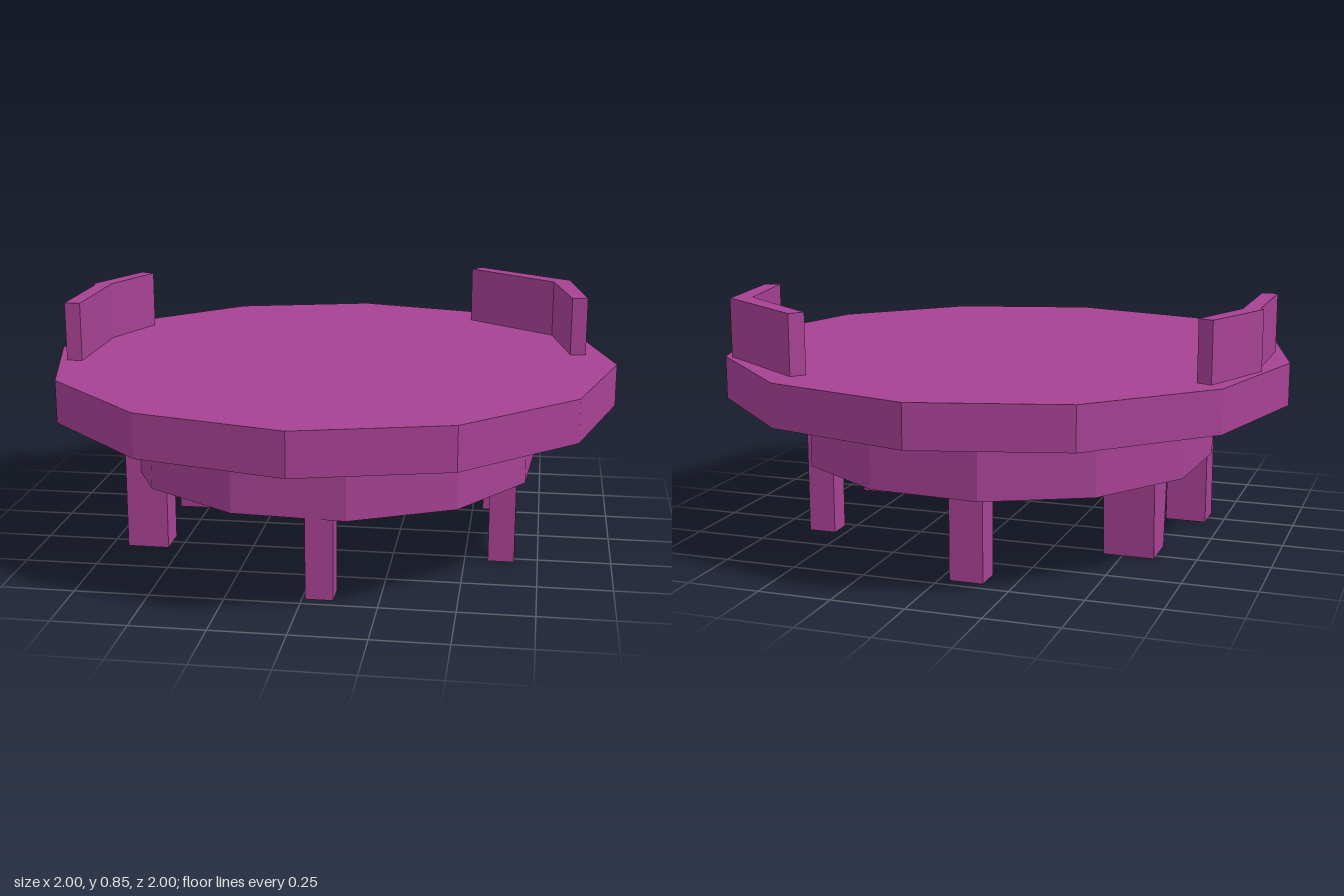
import * as THREE from 'three';

const material = new THREE.MeshStandardMaterial({ color: 0xa64193, flatShading: true });

function addMesh(group, name, geometry) {
  const mesh = new THREE.Mesh(geometry, material);
  mesh.name = name;
  group.add(mesh);
  return mesh;
}

// Upright slab from a plan outline of [x, z] points, between two heights
function slab(outline, bottom, top, hole) {
  const toVectors = (pts) => pts.map(([x, z]) => new THREE.Vector2(x, z));
  const shape = new THREE.Shape(toVectors(outline));
  if (hole) shape.holes.push(new THREE.Path(toVectors(hole)));
  const geometry = new THREE.ExtrudeGeometry(shape, { depth: top - bottom, bevelEnabled: false });
  return geometry.rotateX(Math.PI / 2).translate(0, top, 0);
}

// Twelve plan points on a circle, counter-clockwise, turned by a number of degrees
function dodecagon(radius, turn) {
  return Array.from({ length: 12 }, (_, i) => {
    const a = THREE.MathUtils.degToRad(turn - i * 30);
    return [radius * Math.sin(a), radius * Math.cos(a)];
  });
}

// Box given by its minimum and maximum x and z, standing on the floor
function legBox(x0, x1, z0, z1) {
  return new THREE.BoxGeometry(x1 - x0, 0.5, z1 - z0)
    .translate((x0 + x1) / 2, 0.25, (z0 + z1) / 2);
}

export function createModel() {
  const group = new THREE.Group();
  group.name = 'roundPlatform';

  // Twelve-sided top
  addMesh(group, 'platform', new THREE.CylinderGeometry(1, 1, 0.147, 12).translate(0, 0.5715, 0));

  // Bracing ring under the top
  const ring = slab(dodecagon(0.735, 11), 0.275, 0.462, dodecagon(0.635, 11));
  addMesh(group, 'supportRing', ring.translate(0.004, 0, 0));

  // Straight legs
  const legs = {
    frontLeg: [0.01, 0.102, 0.625, 0.712],
    backLeg: [-0.15, -0.035, -0.71, -0.61],
    frontLeftLeg: [0.58, 0.67, 0.19, 0.282],
    backLeftLeg: [0.538, 0.635, -0.355, -0.27],
    frontRightLeg: [-0.69, -0.545, 0.19, 0.31],
  };
  for (const [name, bounds] of Object.entries(legs)) addMesh(group, name, legBox(...bounds));

  // Wider leg that flares along z towards its top
  const flared = legBox(-0.61, -0.435, -0.285, -0.138);
  const p = flared.attributes.position;
  for (let i = 0; i < p.count; i++) {
    if (p.getY(i) > 0.25) p.setZ(i, p.getZ(i) > -0.2 ? -0.08 : -0.31);
  }
  flared.computeVertexNormals();
  addMesh(group, 'backRightLeg', flared);

  // Two bent low walls on the rim
  const walls = {
    leftWall: [[0.49, -0.755], [0.82, -0.515], [0.835, -0.51], [0.895, -0.14],
      [0.84, -0.13], [0.775, -0.46], [0.455, -0.71]],
    rightWall: [[-0.82, -0.455], [-0.933, -0.18], [-0.92, -0.16], [-0.92, 0.205],
      [-0.865, 0.205], [-0.865, -0.185], [-0.77, -0.435]],
  };
  for (const [name, outline] of Object.entries(walls)) addMesh(group, name, slab(outline, 0.645, 0.85));

  return group;
}
